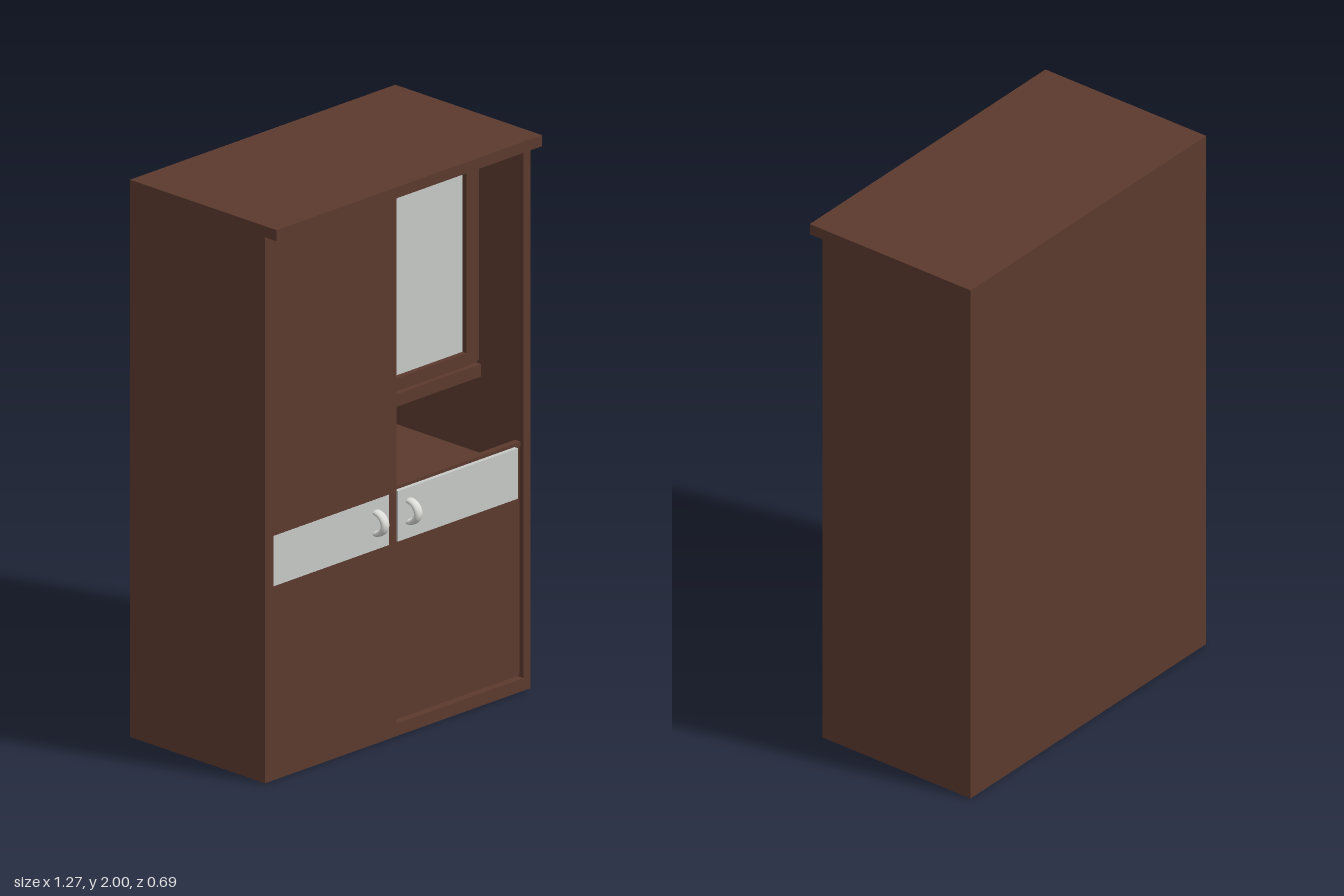
import * as THREE from 'three';

export function createModel() {
  const group = new THREE.Group();
  group.name = 'cabinet';
  const material = (name, color) => {
    const m = new THREE.MeshStandardMaterial({ color });
    m.name = name;
    return m;
  };
  const wood = material('dark wood', 0x5c3a2d);
  const pane = material('pale panel', 0xc8cac8);
  const metal = material('silver metal', 0xdcdcd8);

  // Box given by its limits on each axis
  const box = (name, mat, [x0, x1], [y0, y1], [z0, z1]) => {
    const mesh = new THREE.Mesh(new THREE.BoxGeometry(x1 - x0, y1 - y0, z1 - z0), mat);
    mesh.position.set((x0 + x1) / 2, (y0 + y1) / 2, (z0 + z1) / 2);
    mesh.name = name;
    group.add(mesh);
    return mesh;
  };

  const W = 0.637, back = -0.345, front = 0.29;
  const bay = [-0.005, 0.605]; // open bay on the model's left

  // Carcass
  box('wardrobeBody', wood, [-W, bay[0]], [0, 1.96], [back, front]);
  box('sidePanel', wood, [bay[1], W], [0, 1.96], [back, front]);
  box('backPanel', wood, bay, [0, 1.96], [back, back + 0.015]);
  box('base', wood, bay, [0, 0.045], [back + 0.015, front]);
  box('cornice', wood, [-W, W], [1.96, 2], [back, 0.345]);

  // Lower cupboard, with the door rising past the niche floor as a lip
  box('nicheFloor', wood, bay, [0.76, 0.8], [back + 0.015, 0.25]);
  box('lowerDoor', wood, bay, [0.05, 0.875], [0.25, 0.27]);
  box('lowerDoorLip', wood, bay, [0.875, 0.89], [0.25, 0.275]);

  // Set-back upper cupboard
  const doorZ = 0.08;
  box('nicheCeiling', wood, bay, [1.075, 1.12], [back + 0.015, doorZ + 0.01]);
  box('upperRail', wood, bay, [1.93, 1.96], [back + 0.015, doorZ - 0.01]);
  box('doorGapStrip', wood, bay, [1.12, 1.132], [0.02, doorZ - 0.01]);

  // Framed upper door
  const frame = new THREE.Shape([
    new THREE.Vector2(bay[0], 1.132), new THREE.Vector2(bay[1], 1.132),
    new THREE.Vector2(bay[1], 1.93), new THREE.Vector2(bay[0], 1.93),
  ]);
  frame.holes.push(new THREE.Path([
    new THREE.Vector2(0.053, 1.172), new THREE.Vector2(0.053, 1.885),
    new THREE.Vector2(0.545, 1.885), new THREE.Vector2(0.545, 1.172),
  ]));
  const door = new THREE.Mesh(
    new THREE.ExtrudeGeometry(frame, { depth: 0.03, bevelEnabled: false }), wood);
  door.position.z = doorZ - 0.03;
  door.name = 'upperDoorFrame';
  group.add(door);
  box('upperDoorPane', pane, [0.053, 0.545], [1.172, 1.885], [0.052, 0.06]);

  // Pale bands across the lower doors
  box('wardrobeBand', pane, [-0.597, -0.043], [0.697, 0.877], [front - 0.004, front + 0.002]);
  box('lowerDoorBand', pane, [0, 0.577], [0.697, 0.878], [0.27, front + 0.001]);

  // Arched pull handles, standing out toward the front
  const arch = new THREE.TorusGeometry(0.038, 0.01, 12, 24, Math.PI);
  arch.applyMatrix4(new THREE.Matrix4().makeBasis(
    new THREE.Vector3(0, 1, 0), new THREE.Vector3(0, 0, 1), new THREE.Vector3(1, 0, 0)));
  arch.scale(1.75, 1, 1.14);
  for (const [name, x, y, z] of [
    ['wardrobeHandle', -0.105, 0.793, front],
    ['lowerDoorHandle', 0.055, 0.793, front],
    ['upperDoorHandle', 0.022, 1.553, doorZ],
  ]) {
    const handle = new THREE.Mesh(arch, metal);
    handle.position.set(x, y, z);
    handle.name = name;
    group.add(handle);
  }
  return group;
}
